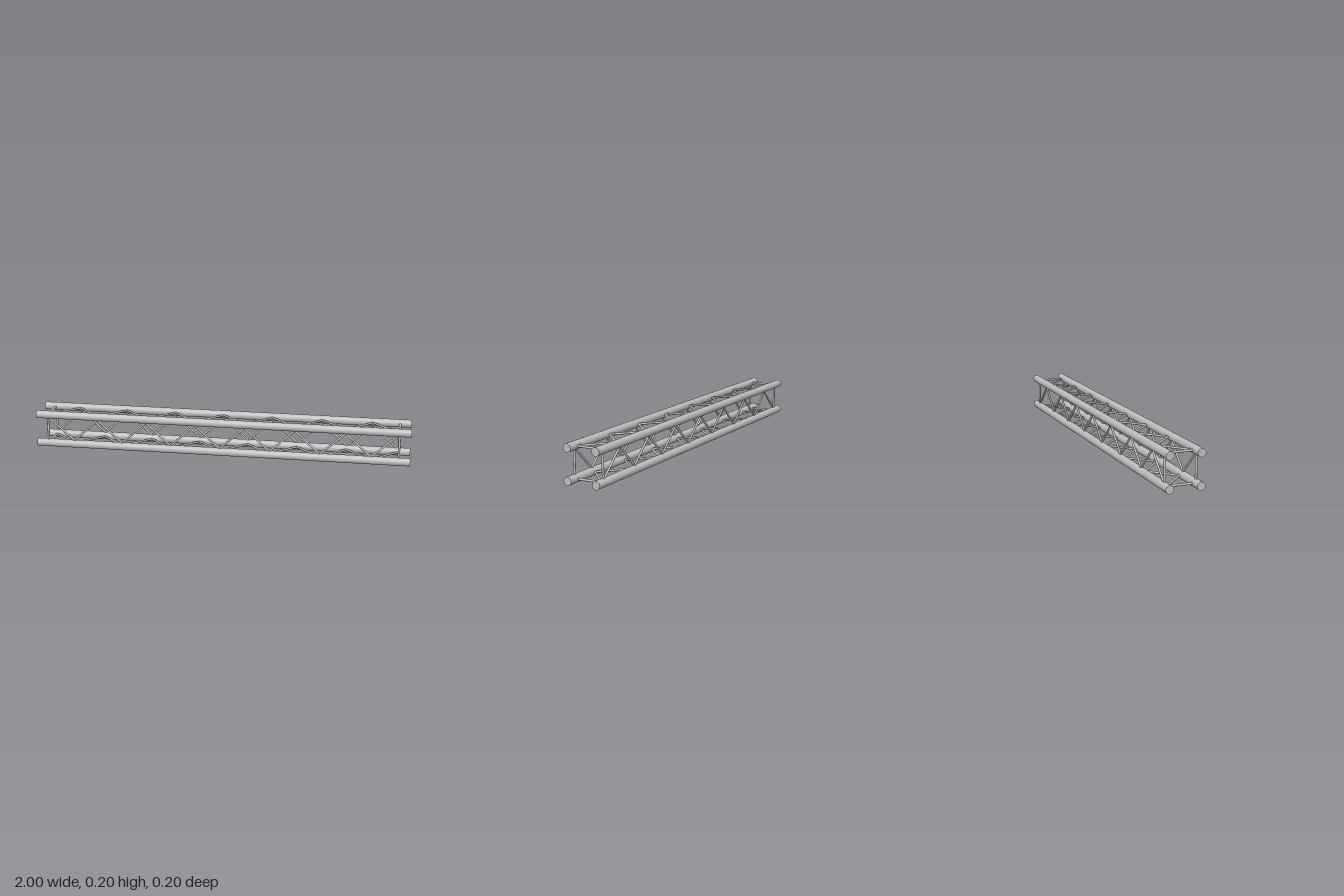
import * as THREE from 'three';

const MID = 0.1;        // height of the truss axis
const OFF = 0.079;      // chord offset from the axis
const CHORD_R = 0.021;
const NODE = 0.061;     // brace ends, just inside the chord surface
const BAYS = 14;
const HALF = 0.93;      // half length of the braced zone

export function createModel() {
  const aluminium = new THREE.MeshStandardMaterial({ color: 0xbdbdbd });
  aluminium.name = 'aluminium';
  const truss = new THREE.Group();
  truss.name = 'boxTruss';

  // Round bar between two points
  function bar(parent, name, a, b, radius, sides) {
    const dir = b.clone().sub(a);
    const mesh = new THREE.Mesh(
      new THREE.CylinderGeometry(radius, radius, dir.length(), sides), aluminium);
    mesh.position.copy(a).add(b).multiplyScalar(0.5);
    mesh.quaternion.setFromUnitVectors(new THREE.Vector3(0, 1, 0), dir.normalize());
    mesh.name = name;
    parent.add(mesh);
  }

  // Four main chords
  for (const sy of [-1, 1]) {
    for (const sz of [-1, 1]) {
      bar(truss, 'chord',
        new THREE.Vector3(-1, MID + sy * OFF, sz * OFF),
        new THREE.Vector3(1, MID + sy * OFF, sz * OFF), CHORD_R, 32);
    }
  }

  // Each face maps (x, t) to a point, t running across the face;
  // the zigzags on opposite faces run in opposite phase
  const faces = [
    { name: 'frontLacing', at: (x, t) => new THREE.Vector3(x, MID + t, OFF), start: 1 },
    { name: 'backLacing', at: (x, t) => new THREE.Vector3(x, MID + t, -OFF), start: -1 },
    { name: 'topLacing', at: (x, t) => new THREE.Vector3(x, MID + OFF, t), start: 1 },
    { name: 'bottomLacing', at: (x, t) => new THREE.Vector3(x, MID - OFF, t), start: -1 },
  ];
  const step = (2 * HALF) / BAYS;
  for (const { name, at, start } of faces) {
    const face = new THREE.Group();
    face.name = name;
    // Diagonal braces
    for (let i = 0; i < BAYS; i++) {
      const x = -HALF + i * step;
      const t = (i % 2 ? -start : start) * NODE;
      bar(face, 'diagonalBrace', at(x, t), at(x + step, -t), 0.0055, 12);
    }
    // Straight end braces
    for (const x of [-0.94, 0.94]) {
      bar(face, 'endBrace', at(x, -NODE), at(x, NODE), 0.006, 12);
    }
    truss.add(face);
  }
  return truss;
}
